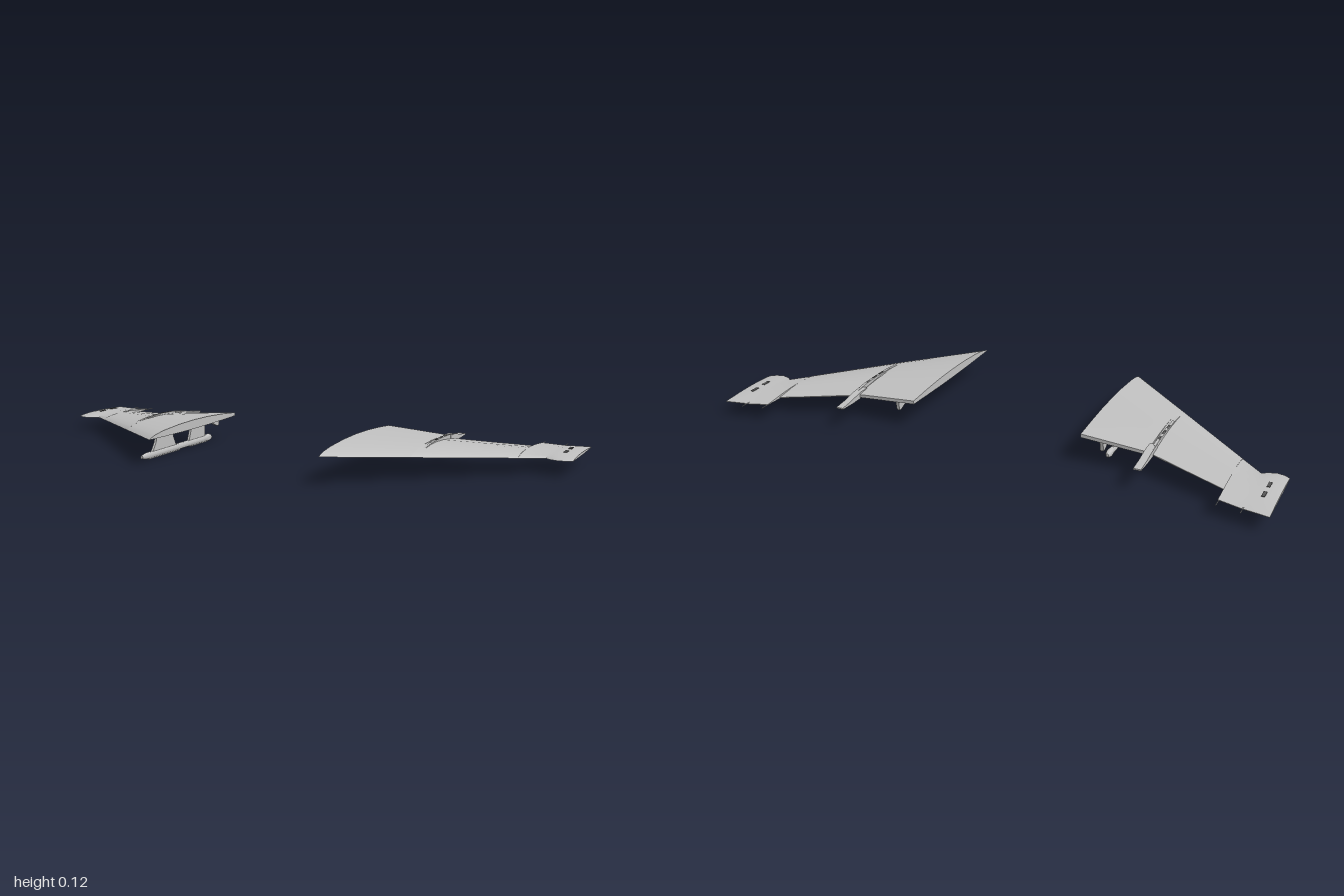
import * as THREE from 'three';
import { toCreasedNormals } from 'three/addons/utils/BufferGeometryUtils.js';

const grey = new THREE.MeshStandardMaterial({ color: 0xc0c0c0 });
grey.name = 'light grey';
const dark = new THREE.MeshStandardMaterial({ color: 0x555555 });
dark.name = 'dark grey';

// airfoil: chord fraction and height of the upper skin
const U = [0, 0.02, 0.07, 0.155, 0.33, 0.5, 0.67, 0.845, 1];
const F = [0, 0.2, 0.46, 0.7, 0.93, 1, 0.93, 0.72, 0.45];
const lerp = THREE.MathUtils.lerp;

const leadingZ = (x) => 0.39 - 0.855 * (x - 0.32);
const leadingY = (x) => Math.max(0.052, 0.092 - 0.068 * (x - 0.32));

// station: x, leading z, trailing z, height, belly depth, trailing edge factor
function section([x, zl, zt, h, belly, end]) {
  const y = leadingY(x);
  const top = U.map((u, i) => [x, y + h * lerp(F[i], F[i] * end, u ** 3), lerp(zl, zt, u)]);
  const bottom = U.map((u) => [x, y - belly * Math.sin(Math.PI * u), lerp(zl, zt, u)]);
  return top.concat(bottom.reverse());
}

// skin over span stations, closed at both ends; side is 1 or -1
function loft(stations, side) {
  const rings = stations.map(section);
  const n = U.length, m = 2 * n, pos = [];
  const tri = (a, b, c) => {
    for (const p of side > 0 ? [a, b, c] : [a, c, b]) pos.push(side * p[0], p[1], p[2]);
  };
  for (let i = 0; i < rings.length - 1; i++) {
    for (let j = 0; j < m; j++) {
      const k = (j + 1) % m;
      const a = rings[i][j], b = rings[i][k], c = rings[i + 1][k], d = rings[i + 1][j];
      tri(a, d, b);
      tri(b, d, c);
    }
  }
  const first = rings[0], last = rings[rings.length - 1];
  for (let j = 0; j < n - 1; j++) {
    const q = m - 1 - j;
    tri(first[j], first[j + 1], first[q - 1]);
    tri(first[j], first[q - 1], first[q]);
    tri(last[j], last[q - 1], last[j + 1]);
    tri(last[j], last[q], last[q - 1]);
  }
  const g = new THREE.BufferGeometry();
  g.setAttribute('position', new THREE.Float32BufferAttribute(pos, 3));
  return toCreasedNormals(g, 0.5);
}

// plate with a side outline of [z, y] points
function plate(points, width) {
  const shape = new THREE.Shape(points.map(([z, y]) => new THREE.Vector2(z, y)));
  const g = new THREE.ExtrudeGeometry(shape, { depth: width, bevelEnabled: false });
  return g.translate(0, 0, -width / 2).rotateY(-Math.PI / 2);
}

function add(parent, name, geometry, material, x = 0, y = 0, z = 0) {
  const mesh = new THREE.Mesh(geometry, material);
  mesh.name = name;
  mesh.position.set(x, y, z);
  parent.add(mesh);
  return mesh;
}

function wing(side) {
  const g = new THREE.Group();
  g.name = side > 0 ? 'leftWing' : 'rightWing';

  // main panels
  add(g, 'innerWing', loft([
    [0.318, leadingZ(0.318), -0.19, 0.028, 0.005, 1],
    [0.44, leadingZ(0.44), -0.19, 0.027, 0.004, 1],
    [0.55, leadingZ(0.55), -0.19, 0.025, 0.003, 1],
  ], side), grey);
  add(g, 'outerWing', loft([
    [0.55, leadingZ(0.55), -0.178, 0.025, 0.003, 0.4],
    [0.69, leadingZ(0.69), -0.229, 0.021, 0.003, 0.3],
    [0.832, leadingZ(0.832), -0.281, 0.016, 0.003, 0.3],
  ], side), grey);
  // wide tip with a rounded nose
  add(g, 'wingTip', loft([
    [0.832, leadingZ(0.832), -0.352, 0.016, 0.003, 0.3],
    [0.908, -0.112, -0.366, 0.014, 0.004, 0.3],
    [0.925, -0.098, -0.369, 0.014, 0.005, 0.3],
    [0.955, -0.089, -0.374, 0.013, 0.005, 0.3],
    [0.98, -0.095, -0.379, 0.011, 0.004, 0.3],
    [0.998, -0.108, -0.382, 0.008, 0.002, 0.3],
  ], side), grey);

  // hinge fairing running back into a tail boom
  const x = side * 0.563;
  add(g, 'fairingRidge', plate([
    [0.11, 0.09], [0.1, 0.096], [0.04, 0.102], [-0.04, 0.104], [-0.12, 0.102],
    [-0.19, 0.095], [-0.19, 0.076], [0.05, 0.076],
  ], 0.01), grey, x);
  add(g, 'tailBoom', plate([
    [-0.14, 0.097], [-0.19, 0.095], [-0.25, 0.084], [-0.302, 0.079],
    [-0.302, 0.074], [-0.24, 0.071], [-0.14, 0.073],
  ], 0.026), grey, side * 0.556);

  // slots above and below the fairing
  for (let i = 0; i < 6; i++) {
    const z = 0.08 - i * 0.045;
    const top = 0.1045 - 0.6 * (z + 0.04) ** 2;
    add(g, 'ridgeSlot', new THREE.BoxGeometry(0.006, 0.003, 0.026), dark, x, top - 0.001, z);
    add(g, 'lowerSlot', new THREE.BoxGeometry(0.008, 0.003, 0.02), dark, x, 0.0725, z);
  }

  // tip slots and rear rods
  for (const z of [-0.2, -0.268]) {
    add(g, 'tipSlot', new THREE.BoxGeometry(0.011, 0.002, 0.034), dark, side * 0.953, 0.0645, z);
    add(g, 'tipLowerSlot', new THREE.BoxGeometry(0.011, 0.002, 0.03), dark, side * 0.953, 0.047, z);
  }
  const rod = new THREE.CylinderGeometry(0.0015, 0.0015, 0.04, 8).rotateX(Math.PI / 2);
  add(g, 'rearRod', rod, grey, side * 0.835, 0.057, -0.365);
  add(g, 'rearRod', rod, grey, side * 0.913, 0.0545, -0.376);

  // small fin under the rear of the inner panel
  add(g, 'lowerFin', plate([
    [-0.1, 0.09], [-0.135, 0.065], [-0.165, 0.052], [-0.178, 0.052], [-0.185, 0.09],
  ], 0.012), grey, side * 0.39);
  return g;
}

// long pod hung from two pylons
function pod() {
  const g = new THREE.Group();
  g.name = 'underwingPod';
  const outline = [
    [0, -0.133], [0.006, -0.131], [0.011, -0.124], [0.0135, -0.112], [0.0135, -0.1], [0.0115, -0.085],
    [0.0115, 0.305], [0.009, 0.318], [0.006, 0.332], [0, 0.333],
  ].map(([r, z]) => new THREE.Vector2(r, z));
  const body = new THREE.LatheGeometry(outline, 20).rotateX(Math.PI / 2).scale(0.85, 1, 1);
  add(g, 'podBody', toCreasedNormals(body, 0.6), grey, 0, 0.0145, 0);
  add(g, 'podKeel', new THREE.BoxGeometry(0.006, 0.006, 0.2), grey, 0, 0.003, 0.19);
  add(g, 'podKeel', new THREE.BoxGeometry(0.006, 0.006, 0.12), grey, 0, 0.003, -0.04);
  add(g, 'frontPylon', plate([
    [0.27, 0.022], [0.247, 0.055], [0.24, 0.09], [0.138, 0.09], [0.134, 0.055], [0.116, 0.022],
  ], 0.009), grey);
  add(g, 'rearPylon', plate([
    [0.032, 0.022], [0.02, 0.05], [0.006, 0.09], [-0.082, 0.09], [-0.082, 0.022],
  ], 0.009), grey);
  g.position.x = -0.393;
  return g;
}

export function createModel() {
  const model = new THREE.Group();
  model.name = 'wingPair';
  model.add(wing(1), wing(-1), pod());
  return model;
}
